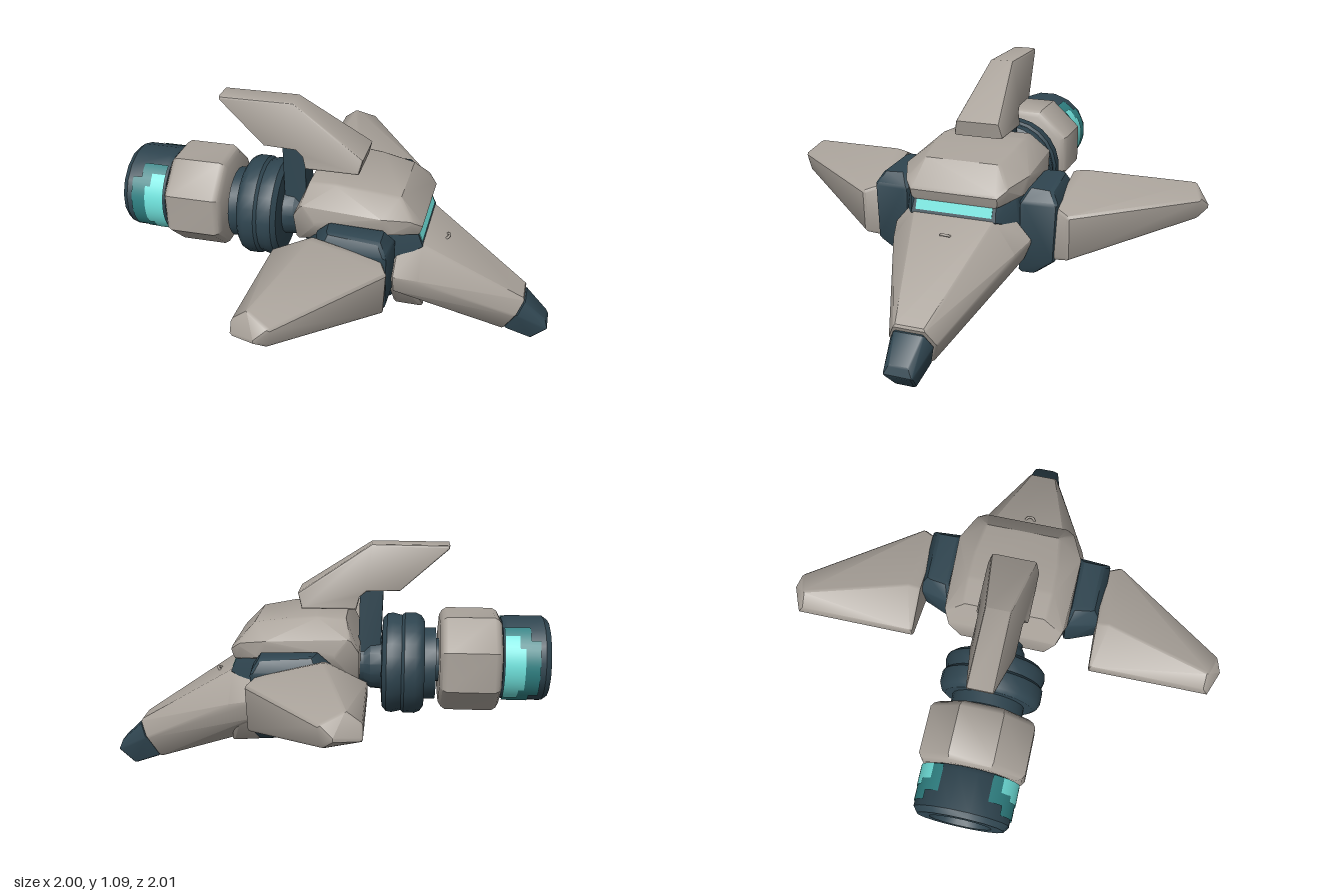
import * as THREE from 'three';
import { toCreasedNormals } from 'three/addons/utils/BufferGeometryUtils.js';
import { ConvexGeometry } from 'three/addons/geometries/ConvexGeometry.js';

const paint = (name, color, side = THREE.FrontSide) => {
  const m = new THREE.MeshStandardMaterial({ color, side });
  m.name = name;
  return m;
};

// Convex solid with softened edges: every corner becomes a small ball
function softHull(corners, r = 0.014) {
  const centre = new THREE.Vector3();
  const pts = corners.map(c => new THREE.Vector3(...c));
  pts.forEach(p => centre.addScaledVector(p, 1 / pts.length));
  const ball = new THREE.IcosahedronGeometry(r, 0).attributes.position;
  const cloud = [];
  for (const p of pts) {
    const inner = p.clone().addScaledVector(centre.clone().sub(p).normalize(), r * 1.15);
    for (let i = 0; i < ball.count; i++) {
      cloud.push(new THREE.Vector3().fromBufferAttribute(ball, i).add(inner));
    }
  }
  return toCreasedNormals(new ConvexGeometry(cloud), 0.6);
}

// Corners repeated on both sides of the centre plane
const bothSides = list => list.flatMap(([x, y, z]) => [[x, y, z], [x, y, -z]]);

// Turned part lying along x; profile is [x, radius]
function turned(profile, sides, y, zScale = 1) {
  const pts = profile.map(([x, r]) => new THREE.Vector2(r, x));
  const g = new THREE.LatheGeometry(pts, sides, Math.PI / sides);
  g.rotateZ(-Math.PI / 2);
  g.scale(1, 1, zScale);
  g.translate(0, y, 0);
  return toCreasedNormals(g, 0.6);
}

export function createModel() {
  const model = new THREE.Group();
  const hullPaint = paint('warm grey hull', 0xaaa39b);
  const dark = paint('dark slate', 0x2f4550);
  const glow = paint('bright teal', 0x6ee0da, THREE.DoubleSide);
  const dimGlow = paint('deep teal', 0x2f8082, THREE.DoubleSide);

  const add = (name, geometry, material, parent = model) => {
    const mesh = new THREE.Mesh(geometry, material);
    mesh.name = name;
    parent.add(mesh);
    return mesh;
  };

  // Rounded core and visor band
  add('core', softHull(bothSides([
    [-0.11, 0.62, 0.2], [-0.11, 0.45, 0.2], [-0.06, 0.33, 0.19], [0.03, 0.245, 0.17],
    [0.14, 0.2, 0.14], [0.28, 0.2, 0.14], [0.3, 0.36, 0.25],
    [0, 0.45, 0.28], [0.27, 0.45, 0.28], [0, 0.64, 0.26], [0.3, 0.64, 0.25],
  ]), 0.02), dark);
  add('visorBand', softHull(bothSides([
    [0.1, 0.65, 0.26], [0.1, 0.48, 0.27], [0.3, 0.65, 0.25], [0.3, 0.48, 0.27],
    [0.38, 0.63, 0.19], [0.42, 0.53, 0.2],
  ])), dark);
  const strip = add('visorLight', new THREE.BoxGeometry(0.008, 0.045, 0.35), glow);
  strip.position.set(0.407, 0.568, 0);
  strip.rotation.z = 0.38;

  // Canopy shell
  add('canopy', softHull(bothSides([
    [-0.155, 0.64, 0.25], [-0.155, 0.5, 0.2], [-0.12, 0.7, 0.27], [-0.1, 0.775, 0.19],
    [0.02, 0.788, 0.2], [0.16, 0.775, 0.2], [0.32, 0.745, 0.18],
    [-0.06, 0.63, 0.285], [0.26, 0.69, 0.29], [0.3, 0.625, 0.27],
    [0.385, 0.665, 0.235], [0.42, 0.635, 0.2], [0.41, 0.602, 0.2],
  ]), 0.018), hullPaint);

  // Tapered nose, cheeks, cap and sensor ring
  add('nose', softHull(bothSides([
    [0.31, 0.55, 0.22], [0.41, 0.535, 0.19], [0.305, 0.43, 0.32], [0.42, 0.4, 0.285],
    [0.305, 0.35, 0.29], [0.4, 0.25, 0.19], [0.44, 0.185, 0.13],
    [0.89, 0.225, 0.065], [0.86, 0.16, 0.1], [0.81, 0.055, 0.06],
  ])), hullPaint);
  for (const s of [1, -1]) {
    add('noseCheek', softHull([
      [0.3, 0.36, 0.28 * s], [0.37, 0.35, 0.275 * s], [0.41, 0.29, 0.23 * s],
      [0.43, 0.185, 0.15 * s], [0.3, 0.2, 0.17 * s], [0.32, 0.34, 0.1 * s],
      [0.32, 0.2, 0.08 * s], [0.42, 0.2, 0.08 * s],
    ]), hullPaint);
  }
  add('noseCap', softHull(bothSides([
    [0.885, 0.215, 0.065], [0.86, 0.16, 0.095], [0.81, 0.055, 0.06],
    [0.995, 0.115, 0.045], [1.005, 0.08, 0.062], [0.935, 0.005, 0.045],
  ]), 0.01), dark);
  const sensor = add('sensorRing', new THREE.TorusGeometry(0.022, 0.006, 6, 20), hullPaint);
  sensor.position.set(0.5, 0.477, 0);
  sensor.rotation.set(Math.PI / 2, 0.575, 0);

  // Wing joints and wings
  for (const s of [1, -1]) {
    const side = new THREE.Group();
    side.name = s > 0 ? 'leftWingAssembly' : 'rightWingAssembly';
    model.add(side);
    const flip = list => list.map(([x, y, z]) => [x, y, z * s]);

    add('wingJoint', softHull(flip([
      [-0.04, 0.6, 0.28], [-0.04, 0.4, 0.28], [0.02, 0.66, 0.3], [0.27, 0.655, 0.3],
      [0.31, 0.6, 0.27], [0.31, 0.36, 0.27], [0.05, 0.27, 0.26], [0.28, 0.26, 0.26],
      [0.03, 0.665, 0.38], [0.27, 0.65, 0.39], [0.0, 0.6, 0.42], [0.3, 0.6, 0.42],
      [0.02, 0.38, 0.42], [0.3, 0.33, 0.41], [0.06, 0.27, 0.32], [0.28, 0.26, 0.32],
    ]), 0.018), dark, side);

    add('wing', softHull(flip([
      [-0.2, 0.56, 0.415], [-0.02, 0.65, 0.41], [0.28, 0.57, 0.41], [0.29, 0.35, 0.41],
      [0.22, 0.33, 0.41], [-0.2, 0.51, 0.415],
      [-0.02, 0.66, 0.455], [0.315, 0.55, 0.47], [0.305, 0.36, 0.47], [0.2, 0.335, 0.45],
      [-0.2, 0.57, 0.95], [-0.14, 0.615, 0.95], [-0.05, 0.575, 0.985],
      [-0.1, 0.535, 1.01], [-0.06, 0.495, 0.97], [-0.2, 0.525, 0.97],
    ])), hullPaint, side);

    // Small vent panel near the trailing edge
    const vent = add('wingVent', new THREE.BoxGeometry(0.06, 0.008, 0.11), hullPaint, side);
    vent.position.set(-0.165, 0.58, 0.615 * s);
    vent.rotation.z = 0.5;
  }

  // Swept fin: widens toward its base
  const outline = [[-0.545, 1.09], [-0.2, 1.092], [0.128, 0.875], [0.11, 0.805],
    [-0.135, 0.805], [-0.15, 0.86], [-0.18, 0.885], [-0.33, 0.89], [-0.545, 1.075]];
  const finShape = new THREE.Shape(outline.map(p => new THREE.Vector2(...p)));
  const fin = new THREE.ExtrudeGeometry(finShape, {
    depth: 0.2, bevelThickness: 0.015, bevelSize: 0.01, bevelOffset: -0.01, bevelSegments: 2,
  });
  fin.translate(0, 0, -0.1);
  const pos = fin.attributes.position;
  for (let i = 0; i < pos.count; i++) {
    const half = THREE.MathUtils.mapLinear(pos.getY(i), 0.82, 1.09, 0.115, 0.055);
    pos.setZ(i, pos.getZ(i) / 0.115 * half);
  }
  add('fin', toCreasedNormals(fin, 0.6), hullPaint);
  add('finStrut', softHull(bothSides([
    [-0.25, 0.9, 0.055], [-0.155, 0.9, 0.055], [-0.235, 0.83, 0.06], [-0.24, 0.58, 0.065],
    [-0.15, 0.58, 0.065], [-0.155, 0.83, 0.06],
  ]), 0.01), dark);

  // Engine: neck, collar, hub, cowl and nozzle
  add('engineNeck', turned([[-0.27, 0], [-0.27, 0.125], [-0.2, 0.12], [-0.17, 0.1],
    [-0.05, 0.1], [-0.05, 0]], 16, 0.53), dark);
  add('engineCollar', turned([[-0.445, 0], [-0.445, 0.2], [-0.43, 0.222], [-0.405, 0.233],
    [-0.355, 0.233], [-0.342, 0.222], [-0.3, 0.232], [-0.275, 0.228], [-0.255, 0.205],
    [-0.25, 0.14], [-0.25, 0]], 24, 0.531), dark);
  add('engineSpacer', turned([[-0.497, 0], [-0.497, 0.165], [-0.43, 0.165], [-0.43, 0]],
    24, 0.531), dark);
  add('engineHub', turned([[-0.82, 0], [-0.82, 0.1], [-0.42, 0.1], [-0.42, 0]], 16, 0.548), dark);
  add('engineCowl', turned([[-0.787, 0], [-0.787, 0.2], [-0.775, 0.222], [-0.755, 0.235],
    [-0.545, 0.235], [-0.525, 0.222], [-0.512, 0.2], [-0.512, 0]], 8, 0.558, 1.08), hullPaint);
  add('nozzle', turned([[-0.93, 0.1], [-1, 0.125], [-1, 0.175], [-0.975, 0.193],
    [-0.81, 0.193], [-0.79, 0.183], [-0.79, 0]], 16, 0.567, 1.1), dark);
  const flame = add('nozzleGlow', new THREE.CircleGeometry(0.115, 16), glow);
  flame.position.set(-0.935, 0.567, 0);
  flame.rotation.y = -Math.PI / 2;

  // Glowing patches wrapped on both sides of the nozzle
  const patches = [[dimGlow, 0.196, -0.91, 1.05], [dimGlow, 0.196, -0.95, 0.7],
    [glow, 0.199, -0.86, 0.8], [glow, 0.199, -0.885, 0.5]];
  for (const [material, r, back, spread] of patches) {
    for (const middle of [0, Math.PI]) {
      const g = new THREE.CylinderGeometry(r, r, -0.795 - back, 12, 1, true,
        middle - spread, spread * 2);
      g.rotateZ(-Math.PI / 2);
      g.scale(1, 1, 1.1);
      g.translate((back - 0.795) / 2, 0.567, 0);
      add('nozzleSideGlow', g, material);
    }
  }
  return model;
}
